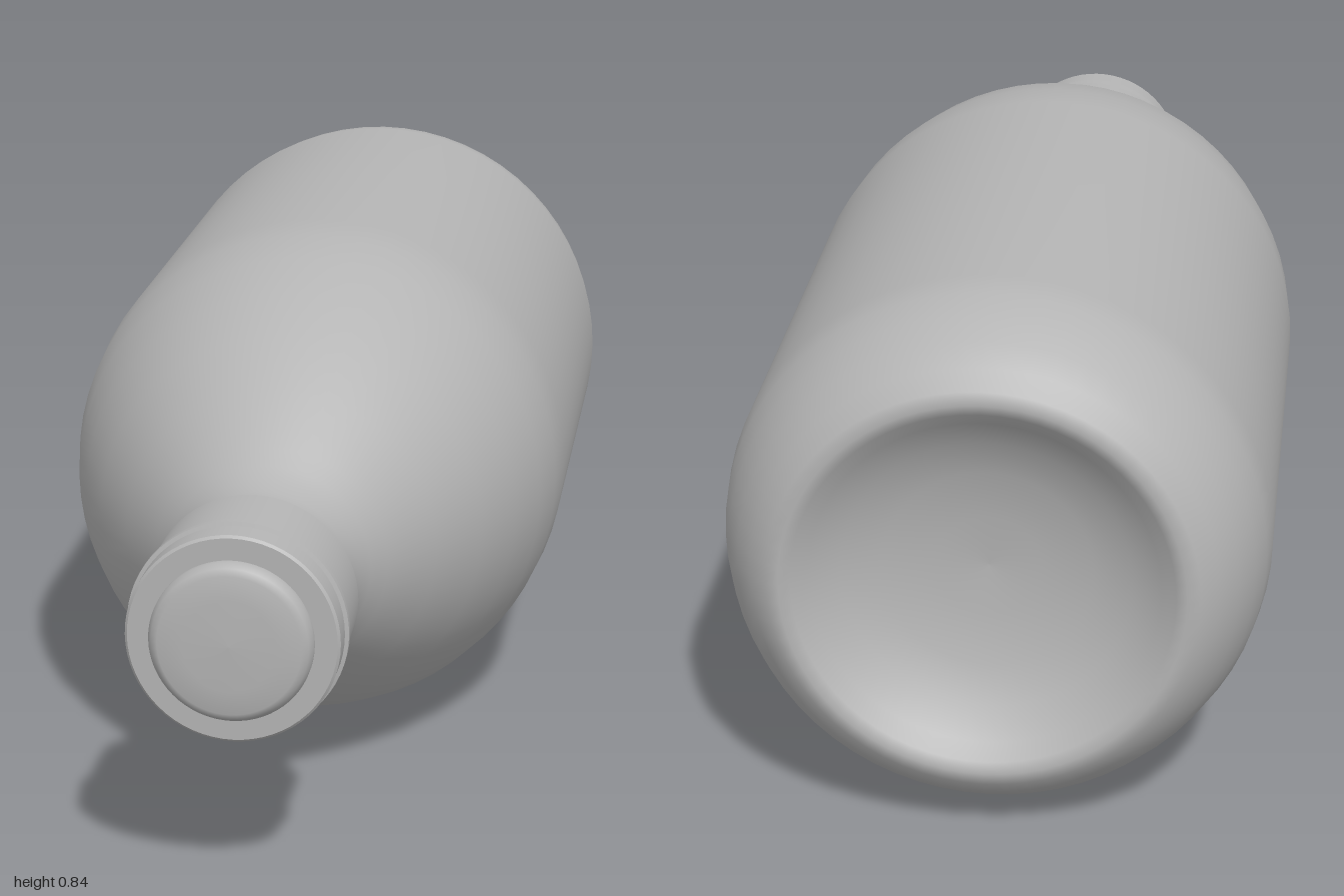
import * as THREE from 'three';
import { mergeGeometries } from 'three/addons/utils/BufferGeometryUtils.js';

const SEGMENTS = 64;
const AXIS_HEIGHT = 0.422;

// Smooth surface of revolution around z; profile holds [radius, z] from back to front
function turn(profile) {
  const points = profile.map(([r, z]) => new THREE.Vector2(r, z));
  return new THREE.LatheGeometry(points, SEGMENTS).rotateX(Math.PI / 2);
}

// Surface of revolution with a sharp edge at every profile point
function turnSharp(profile) {
  return mergeGeometries(profile.slice(1).map((p, i) => turn([profile[i], p])));
}

export function createModel() {
  const grey = new THREE.MeshStandardMaterial({ color: 0xb4b4b4 });
  grey.name = 'grey';

  const bottle = new THREE.Group();
  bottle.name = 'bottle';
  bottle.position.y = AXIS_HEIGHT;
  const add = (name, geometry) => {
    const mesh = new THREE.Mesh(geometry, grey);
    mesh.name = name;
    bottle.add(mesh);
  };

  // Dished base, rounded heel, straight wall, sloping shoulder and neck
  add('body', turn([
    [0, -0.9], [0.08, -0.904], [0.16, -0.918], [0.22, -0.942], [0.265, -0.972],
    [0.288, -0.993], [0.305, -1], [0.325, -0.995], [0.352, -0.97], [0.378, -0.935],
    [0.4, -0.885], [0.415, -0.835], [0.422, -0.78], [0.422, -0.4], [0.422, 0.02],
    [0.415, 0.11], [0.396, 0.2], [0.362, 0.3], [0.316, 0.4], [0.253, 0.5],
    [0.185, 0.59], [0.162, 0.618], [0.147, 0.645], [0.138, 0.675], [0.135, 0.7], [0.135, 0.76],
  ]));

  // Tamper ring below the cap
  add('tamperRing', turnSharp([[0.13, 0.745], [0.148, 0.745], [0.148, 0.772]]));

  // Cap skirt, bead and chamfered front edge
  add('cap', turnSharp([
    [0.14, 0.768], [0.162, 0.768], [0.162, 0.904], [0.168, 0.906],
    [0.168, 0.918], [0.162, 0.92], [0.162, 0.964], [0.158, 0.968], [0.12, 0.968],
  ]));

  // Domed button on the cap
  add('capButton', turn([
    [0.124, 0.965], [0.124, 0.978], [0.118, 0.988], [0.108, 0.995], [0.07, 0.998], [0, 1],
  ]));

  const model = new THREE.Group();
  model.name = 'lyingBottle';
  model.add(bottle);
  return model;
}
